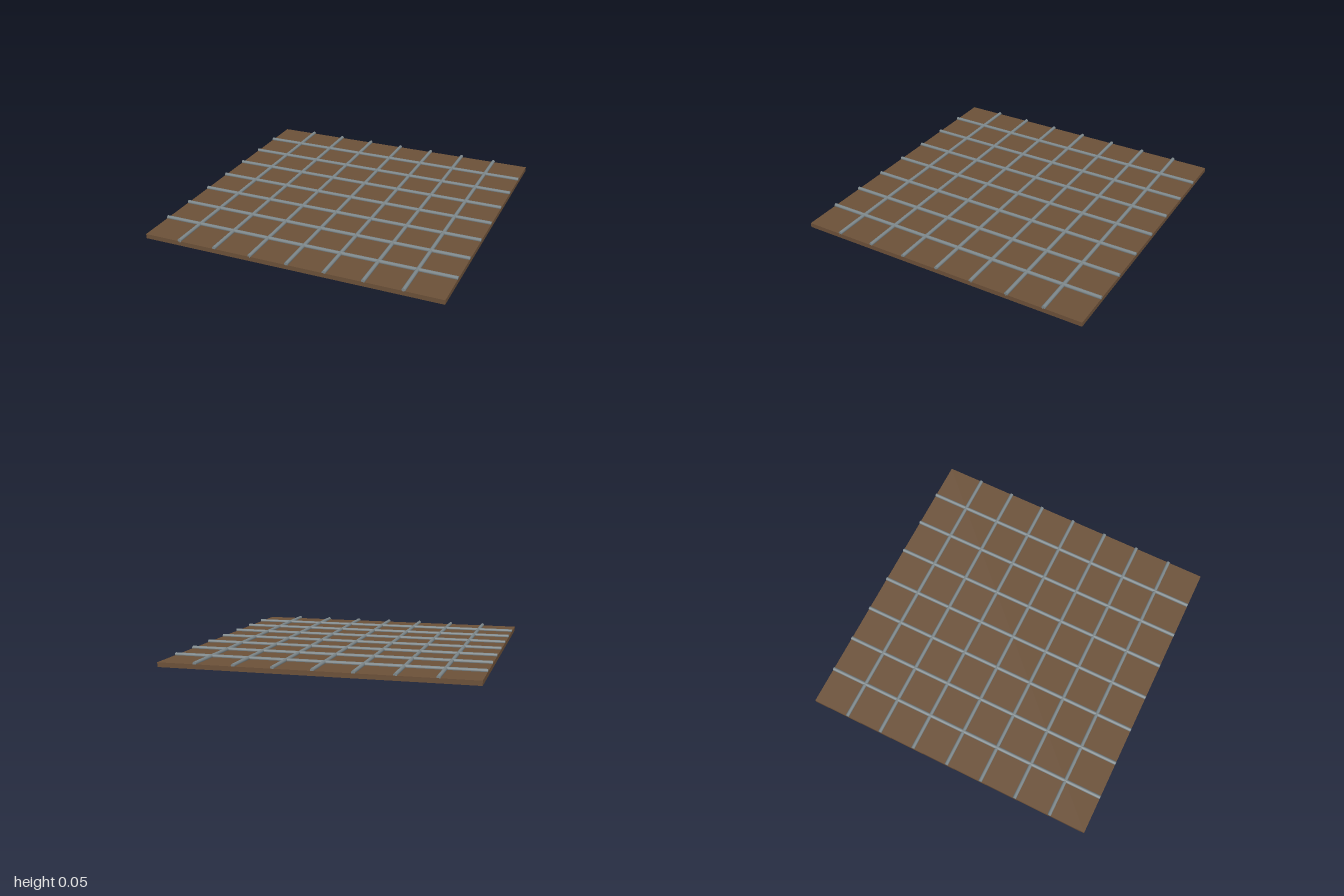
import * as THREE from 'three';

export function createModel() {
  const model = new THREE.Group();
  const earth = new THREE.MeshStandardMaterial({ color: 0x6b5038 });
  const steel = new THREE.MeshStandardMaterial({ color: 0x7d878a });

  const slabHeight = 0.03, rodRadius = 0.0125, rodY = 0.035;
  const spacing = 0.25, length = 2;

  // Square base slab
  const slab = new THREE.Mesh(new THREE.BoxGeometry(length, slabHeight, length), earth);
  slab.name = 'baseSlab';
  slab.position.y = slabHeight / 2;
  model.add(slab);

  // Grid of bars half sunk into the slab, seven in each direction
  const rodGeometry = new THREE.CylinderGeometry(rodRadius, rodRadius, length, 8);
  rodGeometry.rotateY(Math.PI / 8);
  const grid = new THREE.Group();
  grid.name = 'barGrid';
  for (let i = -3; i <= 3; i++) {
    const lengthwise = new THREE.Mesh(rodGeometry, steel);
    lengthwise.name = 'lengthwiseBar';
    lengthwise.rotation.x = Math.PI / 2;
    lengthwise.position.set(i * spacing, rodY, 0);

    const crosswise = new THREE.Mesh(rodGeometry, steel);
    crosswise.name = 'crosswiseBar';
    crosswise.rotation.z = Math.PI / 2;
    crosswise.position.set(0, rodY, i * spacing);

    grid.add(lengthwise, crosswise);
  }
  model.add(grid);
  return model;
}
